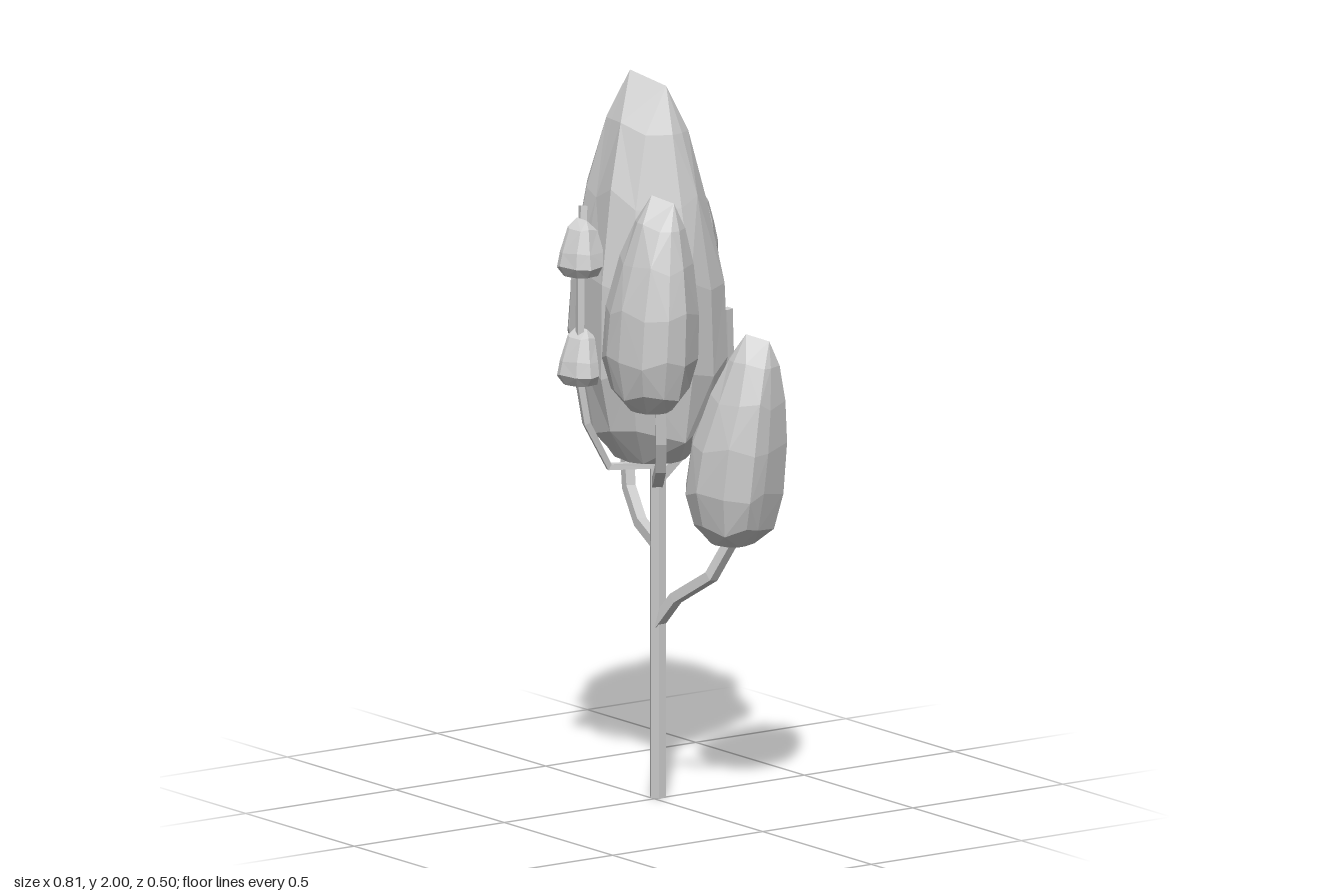
import * as THREE from 'three';

const material = new THREE.MeshStandardMaterial({ color: 0xcccccc, flatShading: true });

// Skin a stack of rings (equal point counts) into a faceted closed surface.
function skin(rings) {
  const pos = [];
  const tri = (a, b, c) => {
    if (a.distanceTo(b) < 1e-5 || b.distanceTo(c) < 1e-5 || a.distanceTo(c) < 1e-5) return;
    for (const p of [a, b, c]) pos.push(p.x, p.y, p.z);
  };
  const n = rings[0].length;
  for (let k = 0; k < rings.length - 1; k++) {
    for (let i = 0; i < n; i++) {
      const j = (i + 1) % n;
      const a = rings[k][i], b = rings[k][j], c = rings[k + 1][i], d = rings[k + 1][j];
      if ((i + k) % 2) { tri(a, c, b); tri(b, c, d); }
      else { tri(a, d, b); tri(a, c, d); }
    }
  }
  const geometry = new THREE.BufferGeometry();
  geometry.setAttribute('position', new THREE.Float32BufferAttribute(pos, 3));
  geometry.computeVertexNormals();
  return geometry;
}

// Foliage profiles: [height fraction, width fraction]
const egg = [[0, 0], [0.015, 0.45], [0.1, 0.82], [0.26, 1], [0.48, 0.97], [0.7, 0.76], [0.88, 0.45], [1, 0]];
const bell = [[0, 0], [0.03, 0.7], [0.2, 1], [0.45, 0.88], [0.85, 0.55], [1, 0]];

// Foliage clump: a footprint outline [x, z] scaled up the profile, leaning to
// the top, where it closes in a short sloping ridge from peak to peak + ridge.
function foliage(outline, y0, y1, peak, ridge, profile = egg) {
  const xs = outline.map(p => p[0]), zs = outline.map(p => p[1]);
  const cx = (Math.min(...xs) + Math.max(...xs)) / 2;
  const cz = (Math.min(...zs) + Math.max(...zs)) / 2;
  const sorted = [...outline].sort((a, b) =>
    Math.atan2(a[1] - cz, a[0] - cx) - Math.atan2(b[1] - cz, b[0] - cx));
  const h = y1 - y0;
  return skin(profile.map(([t, r], k) => sorted.map(([x, z], i) => {
    const lower = (x - cx) * ridge[0] + (z - cz) * ridge[1] > 0 ? 1 : 0;
    const lean = Math.max(0, (t - 0.35) / 0.65);
    const split = (lower - 0.5) * lean ** 6;
    const zigzag = r > 0.5 && t > 0.05 ? 0.02 * h * Math.sin(i * 2.3 + k * 1.7) : 0;
    return new THREE.Vector3(
      cx + (x - cx) * r + (peak[0] + ridge[0] / 2 - cx) * lean + ridge[0] * split,
      y0 + t * h + zigzag - 0.03 * h * lower * lean,
      cz + (z - cz) * r + (peak[1] + ridge[1] / 2 - cz) * lean + ridge[1] * split);
  })));
}

// Branch: square-section sweep through the points, closed at both ends.
function branch(points, radius) {
  const curve = new THREE.CatmullRomCurve3(points.map(p => new THREE.Vector3(...p)));
  curve.getPointAt = curve.getPoint;
  curve.getTangentAt = curve.getTangent;
  const last = points.length - 1;
  const { normals, binormals } = curve.computeFrenetFrames(last, false);
  const ring = (i, r) => Array.from({ length: 4 }, (_, s) => {
    const a = s * Math.PI / 2 + Math.PI / 4;
    return new THREE.Vector3(...points[i])
      .addScaledVector(normals[i], r * Math.cos(a))
      .addScaledVector(binormals[i], -r * Math.sin(a));
  });
  return skin([ring(0, 0), ...points.map((_, i) => ring(i, radius)), ring(last, 0)]);
}

export function createModel() {
  const tree = new THREE.Group();
  tree.name = 'tree';
  const add = (name, geometry) => {
    const mesh = new THREE.Mesh(geometry, material);
    mesh.name = name;
    tree.add(mesh);
    return mesh;
  };

  // Trunk
  add('trunk', new THREE.CylinderGeometry(0.023, 0.024, 0.95, 6)).position.set(-0.016, 0.475, -0.024);

  // Branches
  add('rightBranch', branch([[-0.015, 0.7, -0.022], [-0.12, 0.74, -0.04], [-0.2, 0.82, -0.06],
    [-0.235, 0.97, -0.075], [-0.25, 1.12, -0.08]], 0.02));
  add('leftBranch', branch([[-0.015, 0.48, -0.02], [0.05, 0.56, -0.035], [0.18, 0.64, -0.06],
    [0.22, 0.73, -0.09], [0.23, 0.8, -0.09]], 0.02));
  add('frontLeftBranch', branch([[-0.015, 0.87, -0.02], [0.06, 0.9, 0.03], [0.14, 0.95, 0.08],
    [0.17, 1.03, 0.1], [0.18, 1.15, 0.11]], 0.02));
  add('frontBranch', branch([[-0.015, 0.92, -0.02], [-0.07, 0.92, 0.1], [-0.07, 1.05, 0.175],
    [-0.075, 1.17, 0.195], [-0.085, 1.45, 0.185], [-0.09, 1.58, 0.175], [-0.1, 1.645, 0.165]], 0.013));
  add('backBranch', branch([[-0.015, 0.88, -0.02], [-0.02, 0.95, -0.11], [-0.03, 1.03, -0.17],
    [-0.09, 1.14, -0.22], [-0.1, 1.25, -0.222], [-0.08, 1.42, -0.195]], 0.02));
  add('bareTwig', branch([[-0.03, 1.03, -0.17], [0.04, 1.06, -0.185], [0.075, 1.16, -0.195],
    [0.09, 1.35, -0.178]], 0.015));

  // Foliage
  add('mainFoliage', foliage([[0.03, -0.2], [0.11, -0.165], [0.15, -0.09], [0.165, -0.01], [0.08, 0.13],
    [-0.01, 0.17], [-0.12, 0.155], [-0.19, 0.147], [-0.222, 0.12], [-0.23, 0.08], [-0.2, -0.02],
    [-0.13, -0.12], [-0.05, -0.18]], 0.92, 2, [-0.105, 0.005], [0.105, -0.045]));
  add('rightFoliage', foliage([[-0.24, -0.2], [-0.165, -0.16], [-0.145, -0.09], [-0.21, 0.02],
    [-0.27, 0.04], [-0.345, 0.037], [-0.4, 0], [-0.395, -0.04], [-0.345, -0.13],
    [-0.31, -0.165]], 1.08, 1.68, [-0.285, -0.095], [0.06, -0.02]));
  add('frontLeftFoliage', foliage([[0.02, 0.17], [0.035, 0.2], [0.1, 0.232], [0.16, 0.235],
    [0.24, 0.215], [0.28, 0.16], [0.28, 0.1], [0.23, 0.02], [0.19, 0.005],
    [0.1, 0.06]], 1.11, 1.71, [0.14, 0.11], [0.055, -0.035]));
  add('leftFoliage', foliage([[0.135, -0.03], [0.2, -0.13], [0.25, -0.165], [0.31, -0.18],
    [0.36, -0.17], [0.395, -0.08], [0.4, -0.03], [0.36, 0.03], [0.27, 0.055], [0.2, 0.04],
    [0.16, 0.01]], 0.74, 1.33, [0.305, -0.085], [0.045, -0.045]));
  for (const y of [1.155, 1.455]) {
    add('frontSmallFoliage', foliage([[-0.15, 0.21], [-0.11, 0.245], [-0.09, 0.25], [-0.035, 0.235],
      [-0.015, 0.2], [-0.025, 0.14], [-0.1, 0.13], [-0.15, 0.17]],
    y, y + 0.16, [-0.1, 0.185], [0.03, -0.01], bell));
  }
  add('backSmallFoliage', foliage([[-0.14, -0.155], [-0.115, -0.13], [-0.06, -0.135], [-0.005, -0.165],
    [-0.005, -0.21], [-0.05, -0.25], [-0.09, -0.24], [-0.13, -0.19]],
  1.36, 1.66, [-0.08, -0.185], [0.03, -0.01]));

  return tree;
}
